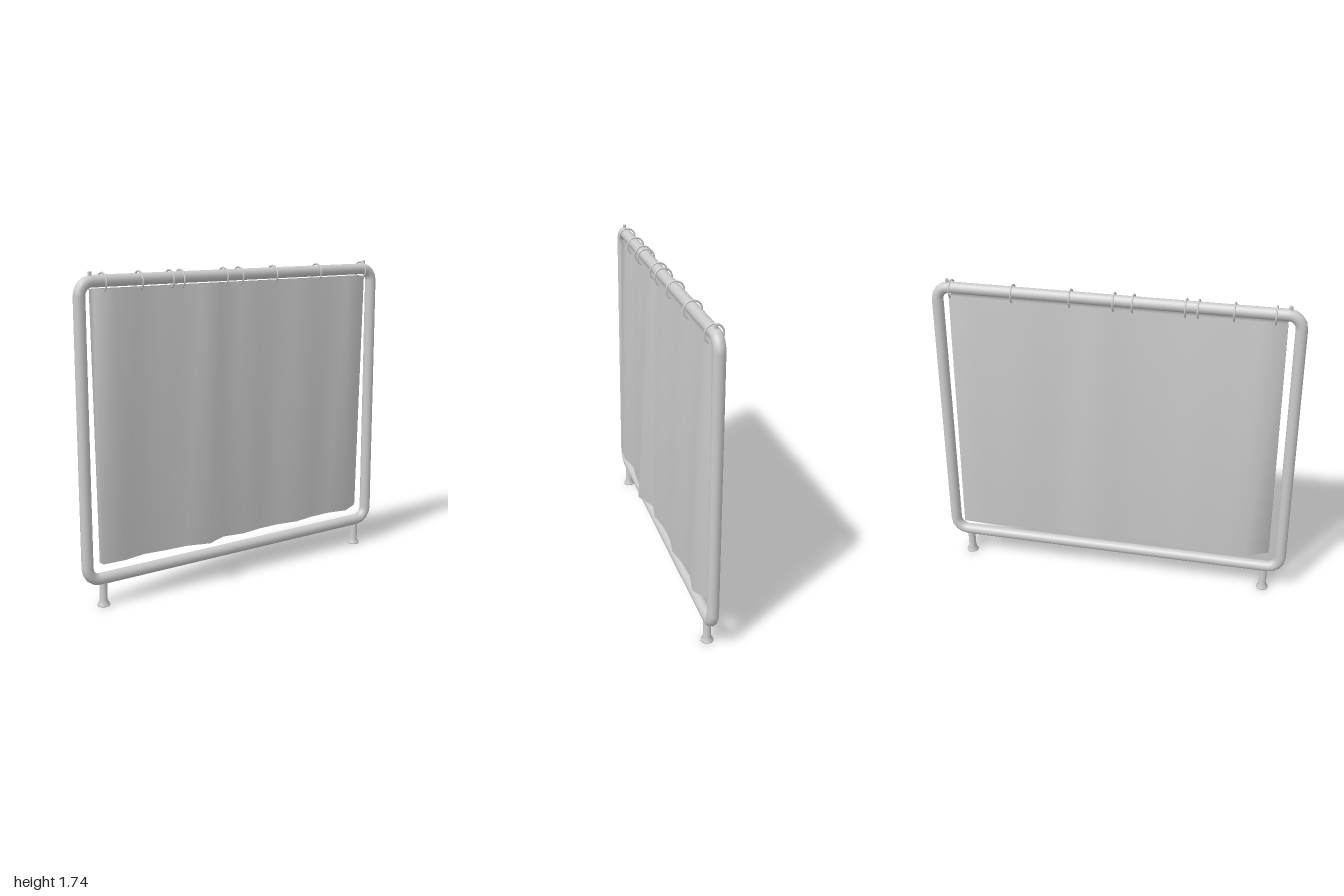
import * as THREE from 'three';
import { mergeVertices } from 'three/addons/utils/BufferGeometryUtils.js';

const MAT = new THREE.MeshStandardMaterial({ color: 0xcccccc, side: THREE.DoubleSide });

// Hanging curtain: thin at the top, with folds spreading toward the hem
function curtainGeometry() {
  const hemRight = [-0.03, 0.035, 0.01, 0.015, 0.035, 0.015, 0.015, 0.035, 0.015, 0.07, 0.03, 0.025, 0.01, 0.035, 0.03];
  const hemLeft = [-0.07, -0.075, -0.075, -0.07, -0.045, -0.04, -0.075, -0.04, -0.04, -0.05, -0.075, -0.075, -0.07, -0.075, -0.01];
  const folds = hemRight.length - 1;
  const box = new THREE.BoxGeometry(1, 1, 1, 1, 1, folds);
  const p = box.attributes.position;
  for (let i = 0; i < p.count; i++) {
    const t = p.getZ(i) + 0.5;
    const k = Math.round(t * folds);
    const top = p.getY(i) > 0, right = p.getX(i) > 0;
    const hem = (right ? hemRight : hemLeft)[k];
    p.setXYZ(i, top ? (right ? 0.008 : -0.042) : hem, top ? 1.65 : 0.24, -0.895 + 1.795 * t);
  }
  // Shared vertices give soft shading across the folds
  box.deleteAttribute('normal');
  box.deleteAttribute('uv');
  const g = mergeVertices(box);
  g.computeVertexNormals();
  return g;
}

export function createModel() {
  const model = new THREE.Group();

  // Local x runs along the model's z axis
  const stand = new THREE.Group();
  stand.name = 'stand';
  stand.rotation.y = -Math.PI / 2;
  stand.position.x = -0.015;
  model.add(stand);

  const add = (name, geometry, x, y, z = 0) => {
    const mesh = new THREE.Mesh(geometry, MAT);
    mesh.name = name;
    mesh.position.set(x, y, z);
    stand.add(mesh);
    return mesh;
  };

  // Rounded rectangular tube frame
  const r = 0.031, bend = 0.07, halfW = 0.969, low = 0.149, high = 1.689;
  const mid = (low + high) / 2;
  const post = new THREE.CylinderGeometry(r, r, high - low - 2 * bend, 16, 1, true);
  const rail = new THREE.CylinderGeometry(r, r, 2 * (halfW - bend), 16, 1, true).rotateZ(Math.PI / 2);
  const corner = new THREE.TorusGeometry(bend, r, 16, 4, Math.PI / 2);
  add('topRail', rail, 0, high);
  add('bottomRail', rail, 0, low);
  for (const s of [-1, 1]) {
    add('post', post, s * halfW, mid);
    const x = s * (halfW - bend);
    add('topCorner', corner, x, high - bend).rotation.z = s > 0 ? 0 : Math.PI / 2;
    add('bottomCorner', corner, x, low + bend).rotation.z = s > 0 ? -Math.PI / 2 : Math.PI;
  }

  // Legs with flared feet, and small pins on the top rail
  const leg = new THREE.LatheGeometry(
    [[0, 0], [0.034, 0], [0.034, 0.005], [0.021, 0.03], [0.021, 0.135]].map(([x, y]) => new THREE.Vector2(x, y)), 16);
  const pin = new THREE.CylinderGeometry(0.01, 0.01, 0.03, 10);
  for (const s of [-1, 1]) {
    add('leg', leg, s * 0.88, 0);
    add('pin', pin, s * 0.908, 1.721);
  }

  // Curtain rings, unevenly spaced
  const ring = new THREE.TorusGeometry(0.047, 0.005, 8, 24).rotateY(Math.PI / 2);
  for (const x of [0.84, 0.63, 0.445, 0.38, 0.105, 0.003, -0.23, -0.545, -0.886]) {
    add('curtainRing', ring, x, 1.682);
  }

  const curtain = new THREE.Mesh(curtainGeometry(), MAT);
  curtain.name = 'curtain';
  model.add(curtain);
  return model;
}
